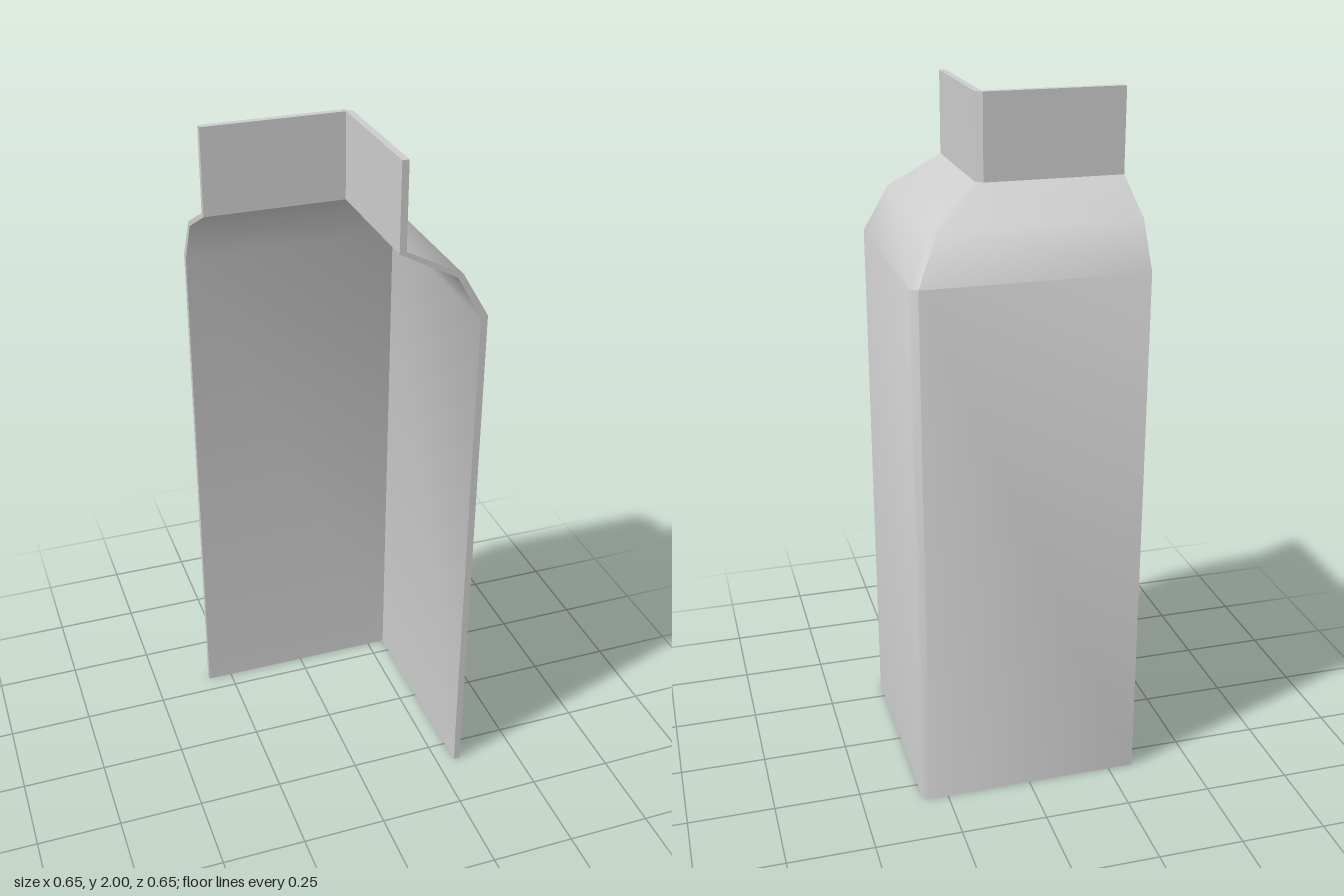
import * as THREE from 'three';
import { toCreasedNormals } from 'three/addons/utils/BufferGeometryUtils.js';

const END = 0.325; // where both arms of the L stop

// L-shaped plan outline: mitred inside, chamfered outside corner
function outline({ out, outY, inn, innY }) {
  return [
    [-END, outY, -out], [inn, outY, -out], [out, outY, -inn], [out, outY, END],
    [inn, innY, END], [inn, innY, -inn], [-END, innY, -inn],
  ];
}

// Loft a stack of outlines, optionally closing the bottom or top
function loft(levels, capBottom, capTop, crease) {
  const loops = levels.map(outline);
  const pos = [];
  const face = (...p) => {
    for (let i = 1; i < p.length - 1; i++) pos.push(...p[0], ...p[i], ...p[i + 1]);
  };
  for (let j = 0; j < loops.length - 1; j++) {
    const lo = loops[j], hi = loops[j + 1];
    lo.forEach((p, k) => {
      const n = (k + 1) % lo.length;
      face(p, hi[k], hi[n], lo[n]);
    });
  }
  for (const part of [[0, 1, 5, 6], [1, 2, 5], [2, 3, 4, 5]]) {
    if (capBottom) face(...part.map(i => loops[0][i]));
    if (capTop) face(...[...part].reverse().map(i => loops[loops.length - 1][i]));
  }
  const geo = new THREE.BufferGeometry();
  geo.setAttribute('position', new THREE.Float32BufferAttribute(pos, 3));
  return toCreasedNormals(geo, crease);
}

export function createModel() {
  const group = new THREE.Group();
  group.name = 'cornerTrim';
  const material = new THREE.MeshStandardMaterial({ color: 0xcccccc, side: THREE.DoubleSide });
  const add = (name, geo) => {
    const mesh = new THREE.Mesh(geo, material);
    mesh.name = name;
    group.add(mesh);
  };

  const foot = { out: 0.325, outY: 0, inn: 0.305, innY: 0 };
  const wallTop = { out: 0.325, outY: 1.55, inn: 0.305, innY: 1.545 };
  const shoulder = { out: 0.25, outY: 1.678, inn: 0.235, innY: 1.67 };
  const neckBase = { out: 0.091, outY: 1.762, inn: 0.072, innY: 1.757 };
  const neckTop = { out: 0.091, outY: 2, inn: 0.072, innY: 2 };

  // Wall and bent shoulder, shaded smoothly over the bends
  add('wallAndShoulder', loft([foot, wallTop, shoulder, neckBase], true, false, 0.87));
  // Upright collar with crisp edges
  add('collar', loft([neckBase, neckTop], false, true, 0.5));
  return group;
}
